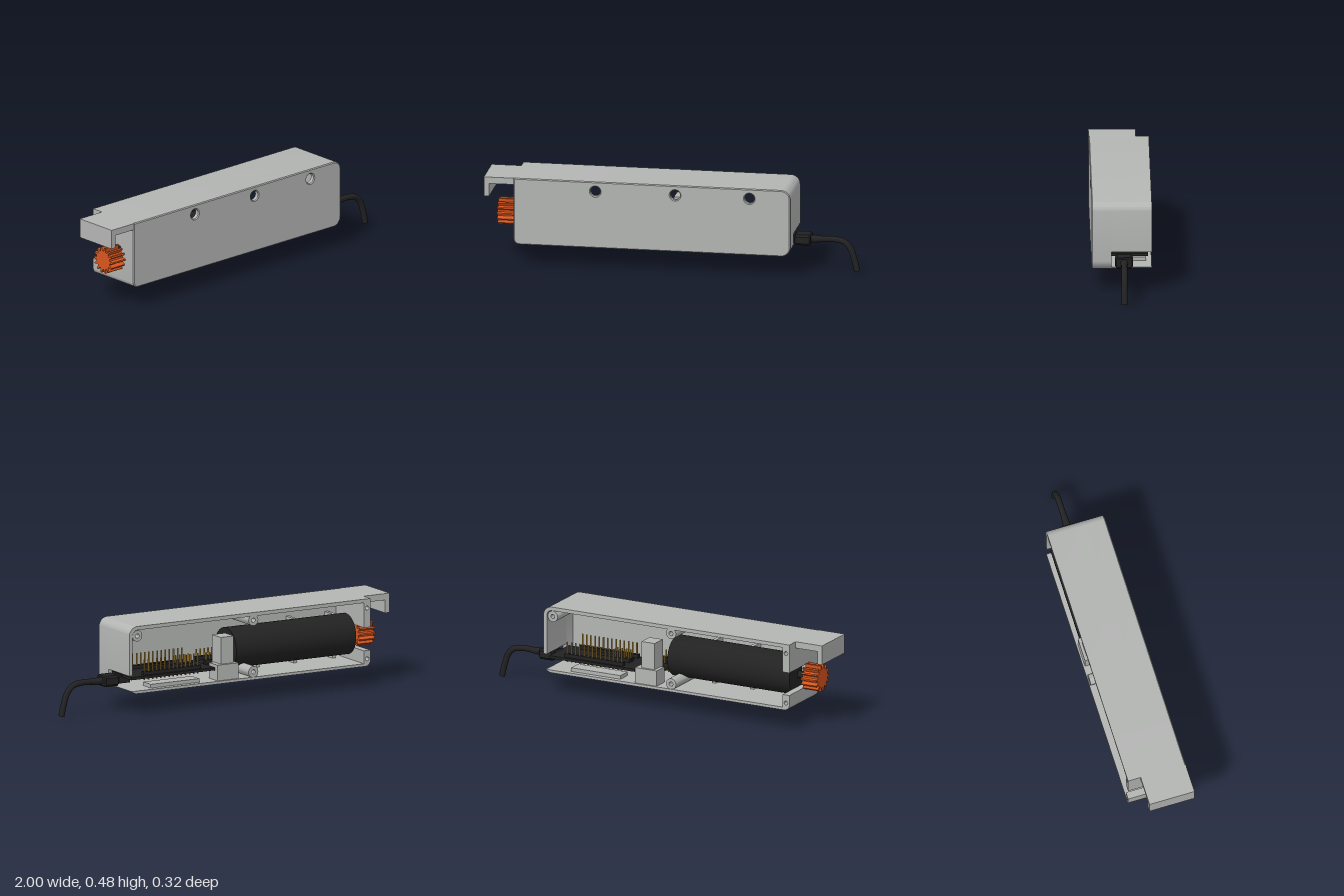
import * as THREE from 'three';
import { toCreasedNormals } from 'three/addons/utils/BufferGeometryUtils.js';

export function createModel() {
  const model = new THREE.Group();
  const paint = (name, color) => Object.assign(new THREE.MeshStandardMaterial({ color }), { name });
  const grey = paint('shellGrey', 0xb4b6b4);
  const black = paint('black', 0x222222);
  const orange = paint('gearOrange', 0xd9561f);
  const gold = paint('pinGold', 0xc59a3c);

  const add = (name, geo, mat, x = 0, y = 0, z = 0, parent = model) => {
    const m = new THREE.Mesh(geo, mat);
    m.name = name;
    m.position.set(x, y, z);
    parent.add(m);
    return m;
  };
  // box given by its lower and upper limits
  const block = (name, mat, [x0, x1], [y0, y1], [z0, z1], parent) =>
    add(name, new THREE.BoxGeometry(x1 - x0, y1 - y0, z1 - z0), mat,
      (x0 + x1) / 2, (y0 + y1) / 2, (z0 + z1) / 2, parent);
  // shape in the xy plane, extruded from z0 to z1, optionally chamfered
  const extrude = (name, shape, z0, z1, mat, bevel = 0) => {
    const geo = new THREE.ExtrudeGeometry(shape, {
      depth: z1 - z0 - 2 * bevel, curveSegments: 12, bevelEnabled: bevel > 0,
      bevelSize: bevel, bevelThickness: bevel, bevelOffset: -bevel, bevelSegments: 1,
    });
    return add(name, toCreasedNormals(geo, 0.6), mat, 0, 0, z0 + bevel);
  };
  const rod = (r0, r1, length, sides = 32) =>
    new THREE.CylinderGeometry(r1, r0, length, sides).rotateZ(-Math.PI / 2);
  const circle = (x, y, r) => new THREE.Path().absarc(x, y, r, 0, Math.PI * 2, true);
  const H = Math.PI / 2;

  // ---- housing ----
  const outline = () => new THREE.Shape()
    .moveTo(-0.84, 0.48).lineTo(-0.84, 0.145)
    .absarc(-0.81, 0.145, 0.03, Math.PI, 3 * H, false)
    .lineTo(0.6, 0.115).absarc(0.6, 0.165, 0.05, -H, 0, false)
    .lineTo(0.65, 0.43).absarc(0.6, 0.43, 0.05, 0, H, false);

  const ring = outline();
  ring.holes.push(new THREE.Path()
    .moveTo(-0.8, 0.13).lineTo(-0.8, 0.46).lineTo(0.6, 0.46)
    .absarc(0.6, 0.43, 0.03, H, 0, true)
    .lineTo(0.63, 0.16).absarc(0.6, 0.16, 0.03, 0, -H, true));
  extrude('housingWall', ring, 0.055, 0.138, grey);

  const front = outline();
  for (const x of [-0.4, 0.03, 0.43]) front.holes.push(circle(x, 0.427, 0.027));
  extrude('frontPlate', front, 0.13, 0.16, grey, 0.005);

  // rear part of the wall, parted by the cable notch and the shaft slot
  const upper = new THREE.Shape()
    .moveTo(0.65, 0.215).lineTo(0.65, 0.43).absarc(0.6, 0.43, 0.05, 0, H, false)
    .lineTo(-0.84, 0.48).lineTo(-0.84, 0.325).lineTo(-0.8, 0.325)
    .lineTo(-0.8, 0.46).lineTo(0.6, 0.46).absarc(0.6, 0.43, 0.03, H, 0, true)
    .lineTo(0.63, 0.215);
  upper.holes.push(circle(-0.82, 0.43, 0.011));
  extrude('upperRearWall', upper, -0.16, 0.055, grey);

  const lower = new THREE.Shape()
    .moveTo(-0.84, 0.2).lineTo(-0.84, 0.145)
    .absarc(-0.81, 0.145, 0.03, Math.PI, 3 * H, false)
    .lineTo(0.6, 0.115).absarc(0.6, 0.165, 0.05, -H, -0.775, false)
    .lineTo(-0.8, 0.13).lineTo(-0.8, 0.2);
  lower.holes.push(circle(-0.82, 0.155, 0.011));
  extrude('lowerRearWall', lower, -0.16, 0.055, grey);

  // screw bosses
  for (const [x, y] of [[0.597, 0.427], [-0.12, 0.437], [-0.12, 0.157]]) {
    const boss = new THREE.Shape().absarc(x, y, 0.03, 0, Math.PI * 2, false);
    boss.holes.push(circle(x, y, 0.012));
    extrude('screwBoss', boss, -0.155, 0.135, grey);
  }

  // cradle ribs behind the motor and the stepped stop block
  for (const x of [-0.27, -0.5, -0.74])
    block('cradleRib', grey, [x - 0.01, x + 0.01], [0.125, 0.37], [0.05, 0.135]);
  block('stopBase', grey, [-0.03, 0.1], [0.125, 0.215], [-0.15, -0.065]);
  block('stopPost', grey, [-0.01, 0.07], [0.21, 0.36], [-0.135, -0.045]);
  block('boardRest', grey, [0.2, 0.5], [0.125, 0.15], [-0.13, -0.05]);

  // hooked bracket on the end
  block('bracketTop', grey, [-1, -0.84], [0.445, 0.48], [-0.09, 0.16]);
  block('bracketLip', grey, [-1, -0.972], [0.375, 0.446], [-0.09, 0.16]);

  // ---- motor, shaft and gear ----
  const axisY = 0.262, axisZ = 0.027;
  add('motor', rod(0.11, 0.11, 0.74, 48), black, -0.428, axisY, axisZ);
  add('shaft', rod(0.02, 0.02, 0.12), black, -0.85, axisY, axisZ);
  const teeth = 14, gear = new THREE.Shape();
  for (let i = 0; i < teeth; i++) {
    [[-0.3, 0.052], [-0.13, 0.073], [0.13, 0.073], [0.3, 0.052]].forEach(([t, r], k) => {
      const a = (i + t) / teeth * Math.PI * 2;
      gear[i + k ? 'lineTo' : 'moveTo'](Math.cos(a) * r, Math.sin(a) * r);
    });
  }
  const gearGeo = new THREE.ExtrudeGeometry(gear, { depth: 0.095, bevelEnabled: false });
  add('gear', gearGeo.rotateY(H), orange, -0.94, axisY, axisZ);

  // ---- electronics ----
  const board = new THREE.Group();
  board.name = 'circuitBoard';
  model.add(board);
  block('mainBoard', black, [0.11, 0.625], [0.187, 0.202], [-0.14, 0.075], board);
  block('driverBoard', black, [-0.05, 0.11], [0.187, 0.2], [-0.03, 0.1], board);
  block('chip', black, [0.3, 0.42], [0.2, 0.218], [0, 0.035], board);
  // header strip with a row of upright pins
  const header = (x0, x1, z, top, count) => {
    block('headerStrip', black, [x0 - 0.012, x1 + 0.012], [0.2, 0.222], [z - 0.011, z + 0.011], board);
    for (let i = 0; i < count; i++) {
      const x = x0 + (x1 - x0) * i / (count - 1);
      block('pin', gold, [x - 0.003, x + 0.003], [0.175, top], [z - 0.003, z + 0.003], board);
    }
  };
  header(0.2, 0.53, -0.115, 0.285, 14);
  header(0.2, 0.53, 0.052, 0.285, 14);
  for (const z of [-0.04, -0.015]) header(0.2, 0.28, z, 0.265, 4);
  for (const z of [-0.015, 0.085]) header(-0.03, 0.09, z, 0.26, 6);

  // ---- plug and cable ----
  const cz = -0.012;
  block('plugTip', black, [0.58, 0.66], [0.155, 0.195], [cz - 0.035, cz + 0.035]);
  const plug = new THREE.Shape();
  [[-0.047, -0.018], [-0.037, -0.029], [0.037, -0.029], [0.047, -0.018],
    [0.047, 0.018], [0.037, 0.029], [-0.037, 0.029], [-0.047, 0.018]]
    .forEach(([a, b], i) => plug[i ? 'lineTo' : 'moveTo'](a, b));
  const plugGeo = new THREE.ExtrudeGeometry(plug, {
    depth: 0.074, bevelSize: 0.006, bevelThickness: 0.006, bevelOffset: -0.006, bevelSegments: 1,
  });
  add('plug', plugGeo.rotateY(H), black, 0.656, 0.174, cz);
  add('strainRelief', rod(0.021, 0.016, 0.07), black, 0.768, 0.174, cz);
  const path = new THREE.CatmullRomCurve3(
    [[0.76, 0.174], [0.86, 0.176], [0.91, 0.165], [0.945, 0.13], [0.967, 0.07], [0.982, 0.006]]
      .map(([x, y]) => new THREE.Vector3(x, y, cz)));
  add('cable', new THREE.TubeGeometry(path, 40, 0.016, 14), black);
  const cap = add('cableEnd', new THREE.CircleGeometry(0.016, 14), black, 0.982, 0.006, cz);
  cap.lookAt(cap.position.clone().add(path.getTangent(1)));

  return model;
}
